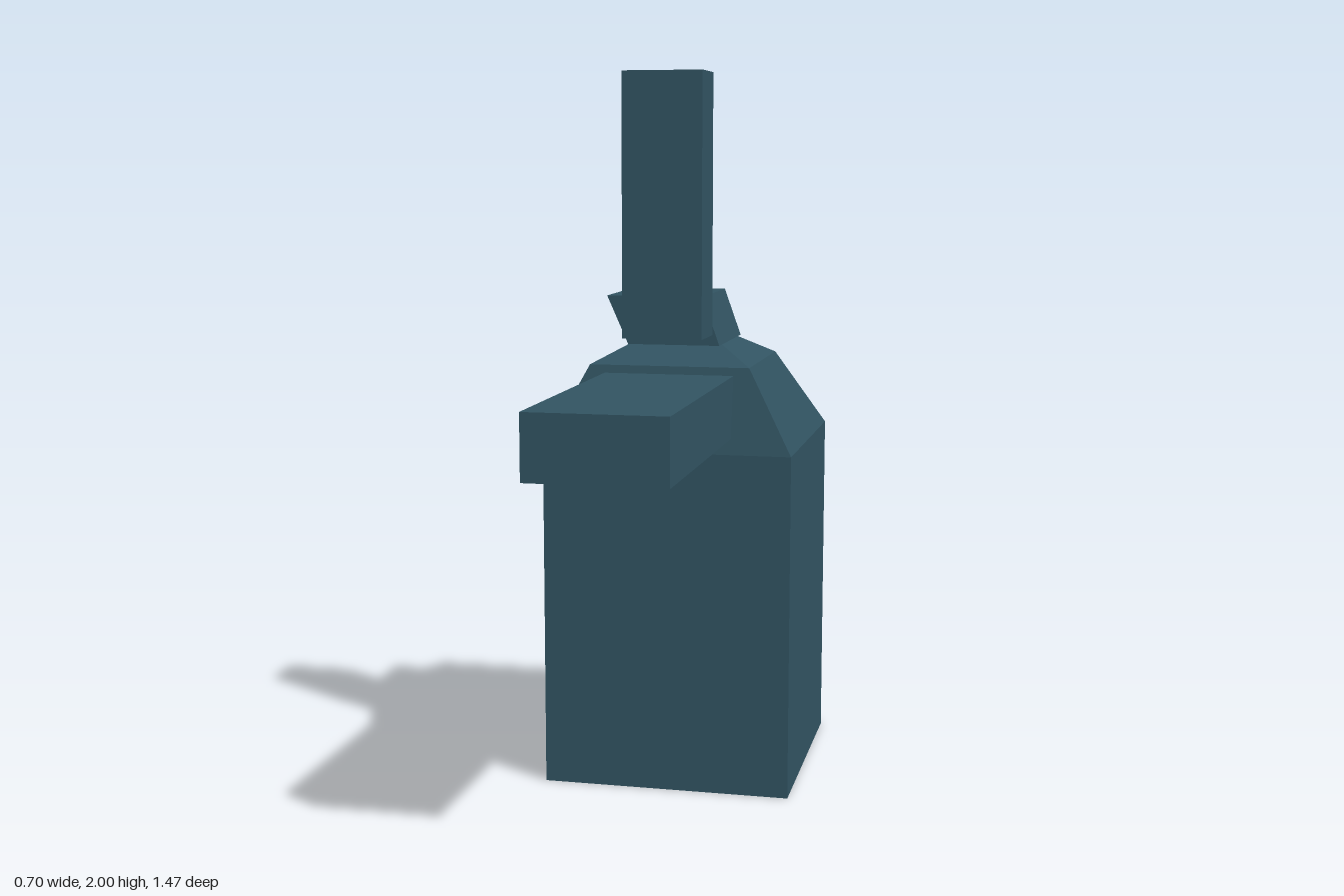
import * as THREE from 'three';

// Flat-shaded stack of rectangular sections: [y, xMin, xMax, zMin, zMax], bottom to top
function loft(sections) {
  const rings = sections.map(([y, x0, x1, z0, z1]) => [
    [x0, y, z1], [x1, y, z1], [x1, y, z0], [x0, y, z0],
  ]);
  const pos = [];
  const quad = (a, b, c, d) => pos.push(...a, ...b, ...c, ...a, ...c, ...d);
  for (let i = 0; i < rings.length - 1; i++) {
    const lo = rings[i], hi = rings[i + 1];
    for (let k = 0; k < 4; k++) {
      const n = (k + 1) % 4;
      quad(lo[k], lo[n], hi[n], hi[k]);
    }
  }
  const [a, b, c, d] = rings[0];
  quad(d, c, b, a);
  quad(...rings[rings.length - 1]);
  const geo = new THREE.BufferGeometry();
  geo.setAttribute('position', new THREE.Float32BufferAttribute(pos, 3));
  geo.computeVertexNormals();
  return geo;
}

export function createModel() {
  const group = new THREE.Group();
  const slate = new THREE.MeshStandardMaterial({ color: 0x315361 });
  slate.name = 'slate blue';

  const add = (name, geometry) => {
    const mesh = new THREE.Mesh(geometry, slate);
    mesh.name = name;
    group.add(mesh);
  };
  const box = (x0, x1, y0, y1, z0, z1) =>
    new THREE.BoxGeometry(x1 - x0, y1 - y0, z1 - z0)
      .translate((x0 + x1) / 2, (y0 + y1) / 2, (z0 + z1) / 2);

  // Square body with tapering shoulders
  add('body', loft([
    [0, -0.35, 0.35, -0.733, -0.033],
    [0.967, -0.35, 0.35, -0.733, -0.033],
    [1.202, -0.225, 0.225, -0.53, -0.08],
    [1.255, -0.13, 0.13, -0.43, -0.18],
  ]));

  // Slanted block on top
  add('cap', loft([
    [1.255, -0.13, 0.13, -0.475, -0.14],
    [1.39, -0.19, 0.082, -0.475, -0.14],
  ]));

  // Upright post in front of the cap
  add('post', box(-0.11, 0.11, 1.285, 2, -0.14, 0.01));

  // Flat arm reaching forward
  add('arm', box(-0.182, 0.182, 1.01, 1.18, -0.08, 0.733));

  return group;
}
